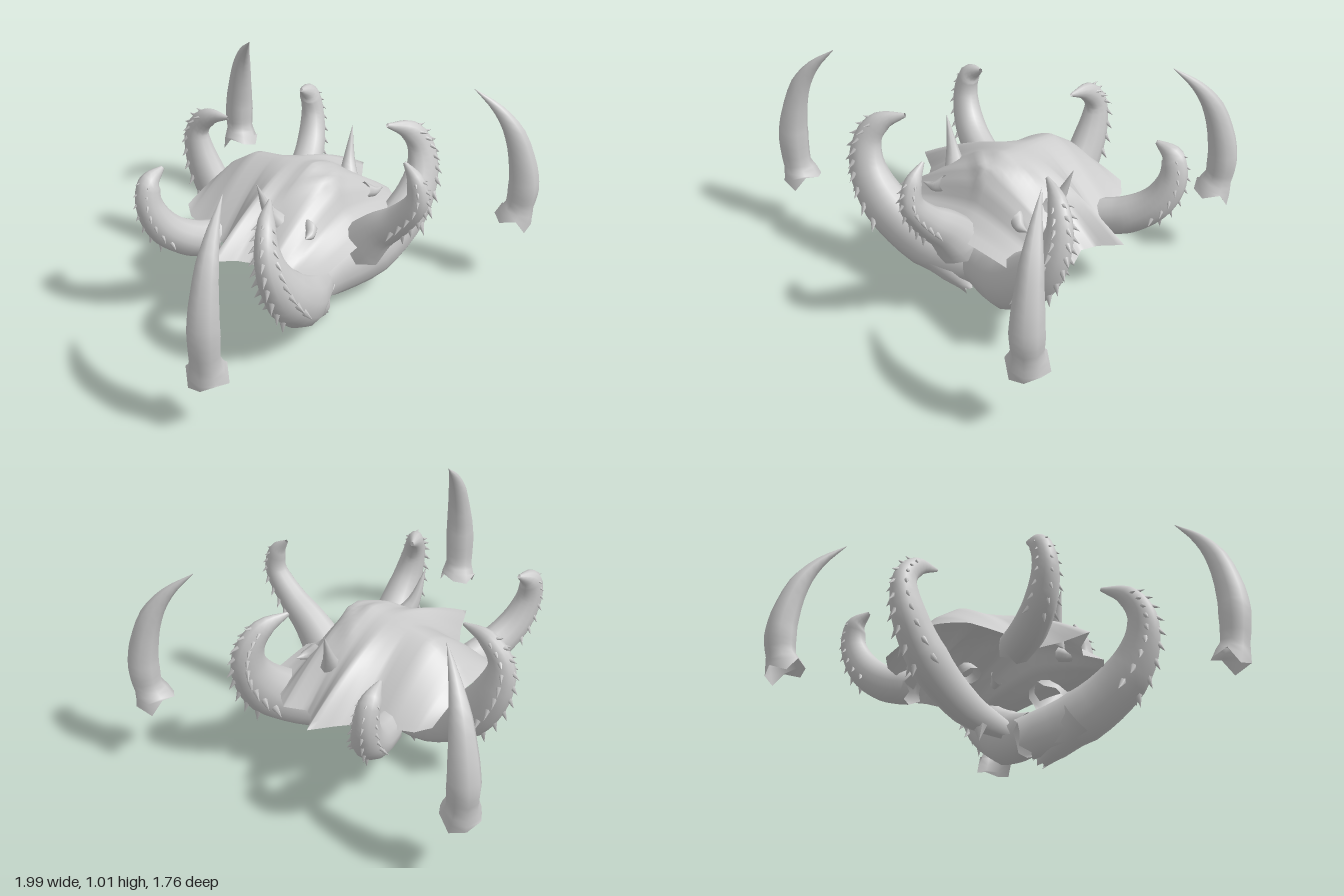
import * as THREE from 'three';

const material = new THREE.MeshStandardMaterial({ color: 0xcccccc, side: THREE.DoubleSide });
const V = (x, y, z) => new THREE.Vector3(x, y, z);
const UP = V(0, 1, 0);

function gridMesh(name, positions, rows, cols, wrap) {
  const index = [];
  for (let r = 0; r < rows - 1; r++) {
    for (let c = 0; c < (wrap ? cols : cols - 1); c++) {
      const a = r * cols + c, b = r * cols + (c + 1) % cols;
      index.push(a, b, a + cols, b, b + cols, a + cols);
    }
  }
  const geometry = new THREE.BufferGeometry();
  geometry.setAttribute('position', new THREE.Float32BufferAttribute(positions, 3));
  geometry.setIndex(index);
  geometry.computeVertexNormals();
  const mesh = new THREE.Mesh(geometry, material);
  mesh.name = name;
  return mesh;
}

// Blend a list of values along t in 0..1
function blend(list, t) {
  const f = t * (list.length - 1), i = Math.min(Math.floor(f), list.length - 2);
  return THREE.MathUtils.lerp(list[i], list[i + 1], f - i);
}

// Frame of a limb: position, tangent, side and outer direction at t
function limbFrame(curve, outward, t) {
  const side = UP.clone().cross(outward).normalize();
  const tangent = curve.getTangent(t);
  const outer = side.clone().cross(tangent).normalize();
  return { point: curve.getPoint(t), tangent, side, outer };
}

// Tapered tube, open at its root, with an optional ragged rim
function limb(name, curve, radii, outward, { sides = 12, rows = 24, jag = 0, flat = 1 } = {}) {
  const positions = [];
  for (let r = 0; r <= rows; r++) {
    const t = r / rows, f = limbFrame(curve, outward, t), radius = blend(radii, t);
    for (let i = 0; i < sides; i++) {
      const a = i / sides * Math.PI * 2;
      const p = f.point.clone()
        .addScaledVector(f.outer, Math.cos(a) * radius)
        .addScaledVector(f.side, Math.sin(a) * radius * flat);
      if (r === 0) p.addScaledVector(f.tangent, jag * Math.sin(i * 2.4));
      positions.push(p.x, p.y, p.z);
    }
  }
  return gridMesh(name, positions, rows + 1, sides, true);
}

function thorn(name, base, direction, length, radius) {
  const geometry = new THREE.ConeGeometry(radius, length, 6);
  geometry.translate(0, length / 2, 0);
  const mesh = new THREE.Mesh(geometry, material);
  mesh.name = name;
  mesh.position.copy(base);
  mesh.quaternion.setFromUnitVectors(UP, direction.clone().normalize());
  return mesh;
}

// Hooked arm with three rows of thorns down its outer face
function arm(name, points, radii, { from = 0.35, count = 8, size = 0.05, flat = 0.8 } = {}) {
  const group = new THREE.Group();
  group.name = name;
  const curve = new THREE.CatmullRomCurve3(points);
  const outward = points[Math.floor(points.length / 2)].clone().sub(points[0]).setY(0).normalize();
  group.add(limb(name + 'Shell', curve, radii, outward, { jag: 0.02, flat }));
  for (const angle of [-1.1, 0, 1.1]) {
    for (let i = 0; i < count; i++) {
      const t = from + (0.85 - from) * i / count;
      const f = limbFrame(curve, outward, t), radius = blend(radii, t);
      const offset = f.outer.clone().multiplyScalar(Math.cos(angle))
        .addScaledVector(f.side, Math.sin(angle) * flat);
      const base = f.point.clone().addScaledVector(offset, radius * 0.88);
      const length = size * (1.1 - 0.6 * i / count);
      group.add(thorn('thorn', base, offset.addScaledVector(f.tangent, -0.7), length, length * 0.28));
    }
  }
  return group;
}

// Tent-like carapace, open below. Each row: z, half width, centre height, edge height
function carapace() {
  const rows = [
    [-0.44, 0.27, 0.52, 0.45], [-0.38, 0.32, 0.59, 0.43], [-0.25, 0.36, 0.68, 0.42], [-0.13, 0.38, 0.7, 0.4],
    [-0.07, 0.48, 0.71, 0.42], [-0.02, 0.6, 0.715, 0.45], [0.04, 0.5, 0.72, 0.43], [0.1, 0.46, 0.735, 0.42],
    [0.2, 0.5, 0.69, 0.42], [0.25, 0.46, 0.63, 0.42], [0.29, 0.42, 0.54, 0.42], [0.36, 0.38, 0.48, 0.42],
    [0.42, 0.33, 0.45, 0.42],
  ];
  const cols = 33, count = 49, positions = [];
  for (let r = 0; r < count; r++) {
    const [z, w, top, edge] = [0, 1, 2, 3].map(k => blend(rows.map(row => row[k]), r / (count - 1)));
    for (let c = 0; c < cols; c++) {
      const u = 1 - c / (cols - 1) * 2, dx = Math.abs(u * w);
      // V-shaped brow ridge
      const ridge = dx < 0.22 ? 0.025 * Math.exp(-(((z - 0.23 + 0.8 * dx) / 0.035) ** 2)) * (1 - dx / 0.22) : 0;
      const y = edge + (top - edge) * (1 - Math.abs(u) ** 1.45) + ridge;
      positions.push(0.18 + u * w, y, z);
    }
  }
  return gridMesh('carapace', positions, count, cols, false);
}

// Free-standing curved claw leaning towards its tip
function claw(x, z, tipX, tipZ, drop) {
  const lean = V(tipX - x, 0, tipZ - z);
  const profile = [[0.02, 0.35 - drop], [-0.08, 0.43 - drop], [-0.12, 0.52], [-0.07, 0.63], [0.15, 0.8], [0.5, 0.92], [1, 1.02]];
  const curve = new THREE.CatmullRomCurve3(profile.map(([s, y]) => V(x + lean.x * s, y, z + lean.z * s)));
  const radii = [0.093, 0.068, 0.074, 0.067, 0.05, 0.027, 0.001];
  return limb('claw', curve, radii, lean.clone().negate().normalize(), { sides: 8, rows: 18, jag: 0.03 });
}

export function createModel() {
  const model = new THREE.Group();
  model.name = 'hornedShell';
  model.add(carapace());

  for (const s of [1, -1]) {
    // Paired horns and cheek spikes on the carapace
    const at = (dx, y, z) => V(0.18 + s * dx, y, z);
    const spike = (name, points, radii) => model.add(
      limb(name, new THREE.CatmullRomCurve3(points), radii, V(s, 0, 0), { sides: 8, rows: 8 }));
    spike('horn', [at(0.27, 0.54, 0.12), at(0.315, 0.62, 0.085), at(0.37, 0.77, 0.06)], [0.055, 0.03, 0.001]);
    spike('cheekSpike', [at(0.21, 0.55, 0.24), at(0.255, 0.535, 0.27), at(0.31, 0.54, 0.285)], [0.04, 0.025, 0.001]);

    // Rear side arms
    const rear = [[0.32, 0.38, -0.22], [0.45, 0.42, -0.265], [0.565, 0.51, -0.315], [0.62, 0.64, -0.35],
      [0.6, 0.74, -0.36], [0.52, 0.79, -0.35]];
    model.add(arm('rearArm', rear.map(p => V(0.17 + s * p[0], p[1], p[2])),
      [0.085, 0.088, 0.08, 0.064, 0.054, 0.01], { count: 7, size: 0.04, flat: 0.9 }));

    // Large front side arms, the right one set a little lower and further back
    const front = [[0, 0.17, 0.2], [0.25, 0.25, 0.31], [0.46, 0.4, 0.37], [0.565, 0.56, 0.375],
      [0.58, 0.69, 0.35], [0.53, 0.78, 0.31], [0.43, 0.825, 0.25]];
    const lower = s < 0 ? 0.03 : 0;
    model.add(arm('frontArm', front.map(p => V(0.13 + s * p[0], p[1] - lower, p[2] - lower)),
      [0.11, 0.135, 0.12, 0.09, 0.068, 0.05, 0.01], { from: 0.32, count: 9, size: 0.06 }));
  }

  // Centre arms, front and rear
  model.add(arm('centreFrontArm', [V(0.175, 0.4, 0.38), V(0.175, 0.51, 0.47), V(0.175, 0.61, 0.58),
    V(0.175, 0.73, 0.665), V(0.175, 0.83, 0.65), V(0.175, 0.9, 0.59)],
  [0.115, 0.09, 0.07, 0.055, 0.042, 0.008], { count: 7, size: 0.045, flat: 0.85 }));
  model.add(arm('centreRearArm', [V(0.17, 0.165, 0.05), V(0.17, 0.205, -0.2), V(0.17, 0.35, -0.43),
    V(0.17, 0.54, -0.565), V(0.17, 0.7, -0.595), V(0.17, 0.79, -0.52), V(0.17, 0.82, -0.4)],
  [0.05, 0.09, 0.11, 0.09, 0.06, 0.045, 0.008], { count: 9, size: 0.055 }));

  // Root stubs under the arms
  model.add(thorn('rootStub', V(0.16, 0.16, -0.11), V(-0.1, -1, -0.15), 0.11, 0.045));
  model.add(limb('lowerRoot', new THREE.CatmullRomCurve3([V(0.1, 0.03, 0.23), V(0.02, 0.1, 0.24), V(-0.12, 0.2, 0.27)]),
    [0.03, 0.075, 0.11], V(-1, 0, 0.2).normalize(), { rows: 8, jag: 0.015 }));

  // Three separate claws around the shell
  model.add(claw(-0.9, 0.36, -0.69, 0.285, 0.06));
  model.add(claw(0.74, -0.79, 0.585, -0.6, 0));
  model.add(claw(0.91, 0.78, 0.79, 0.57, 0));
  return model;
}
